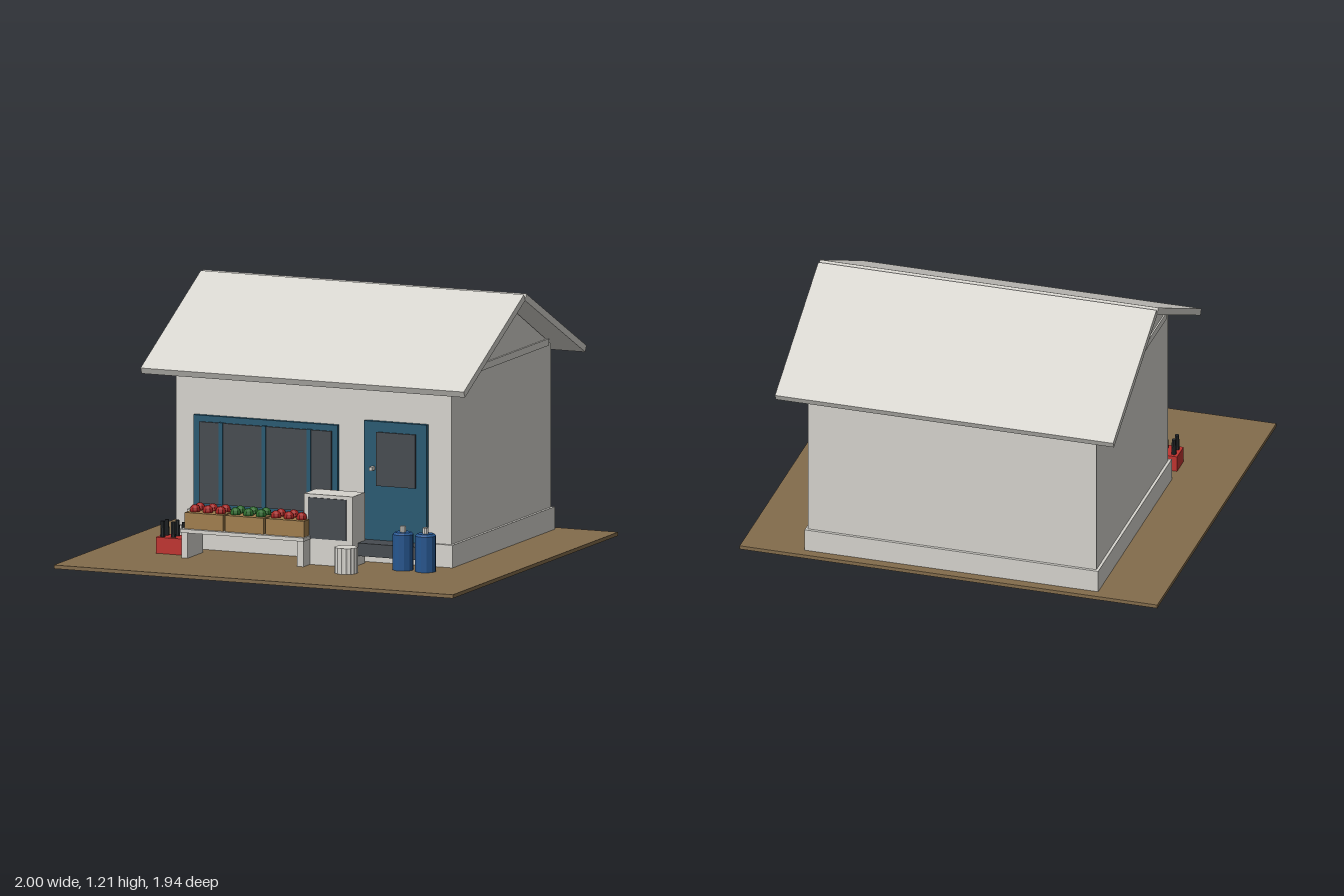
import * as THREE from 'three';

const mat = (name, color) => {
  const m = new THREE.MeshStandardMaterial({ color });
  m.name = name;
  return m;
};

export function createModel() {
  const root = new THREE.Group();
  root.name = 'cornerShop';
  const plaster = mat('plaster', 0xd6d4ce);
  const earth = mat('earth', 0x836c4c);
  const paint = mat('bluePaint', 0x285972);
  const glass = mat('darkGlass', 0x464b50);
  const wood = mat('crateWood', 0xa07e4e);
  const red = mat('redPlastic', 0xc03430);
  const apple = mat('appleRed', 0xa32220);
  const green = mat('leafGreen', 0x2c6a2c);
  const gas = mat('gasBlue', 0x26568f);
  const black = mat('bottleBlack', 0x26292c);

  const add = (name, geo, m, parent = root) => {
    const mesh = new THREE.Mesh(geo, m);
    mesh.name = name;
    parent.add(mesh);
    return mesh;
  };
  // Box given by its limits on each axis
  const box = (name, m, x0, x1, y0, y1, z0, z1, parent) => {
    const g = new THREE.BoxGeometry(x1 - x0, y1 - y0, z1 - z0);
    g.translate((x0 + x1) / 2, (y0 + y1) / 2, (z0 + z1) / 2);
    return add(name, g, m, parent);
  };
  // Upright faceted cylinder
  const post = (name, m, x, z, y0, y1, rTop, rBottom, sides, parent) => {
    let g = new THREE.CylinderGeometry(rTop, rBottom, y1 - y0, sides).toNonIndexed();
    g.computeVertexNormals();
    g.translate(x, (y0 + y1) / 2, z);
    return add(name, g, m, parent);
  };
  // Outline in (z, y) extruded along x
  const profile = (name, m, pts, halfWidth) => {
    const s = new THREE.Shape(pts.map(([z, y]) => new THREE.Vector2(-z, y)));
    const g = new THREE.ExtrudeGeometry(s, { depth: halfWidth * 2, bevelEnabled: false });
    g.translate(0, 0, -halfWidth);
    g.rotateY(Math.PI / 2);
    return add(name, g, m);
  };
  const group = (name) => {
    const g = new THREE.Group();
    g.name = name;
    root.add(g);
    return g;
  };

  // Ground and building shell
  box('ground', earth, -1, 1, 0.003, 0.02, -0.9, 0.97);
  box('walls', plaster, -0.69, 0.69, 0.02, 0.885, -0.84, 0.287);
  box('plinth', plaster, -0.703, 0.703, 0.02, 0.125, -0.854, 0.302);
  box('gableBand', plaster, -0.697, 0.697, 0.882, 0.914, -0.8, 0.248);
  const ridge = -0.276;
  profile('gable', plaster, [[ridge - 0.564, 0.884], [ridge + 0.564, 0.884], [ridge, 1.178]], 0.69);

  // Two roof slabs meeting at the ridge
  for (const s of [1, -1]) {
    const pts = [[0, 1.18], [0.68, 0.835], [0.694, 0.863], [0.013, 1.21]];
    profile('roofSlab', plaster, pts.map(([d, y]) => [ridge + s * d, y]), 0.81);
  }

  // Shop window
  const win = group('shopWindow');
  box('windowFrame', paint, -0.594, 0.128, 0.21, 0.644, 0.28, 0.308, win);
  box('windowGlass', glass, -0.562, 0.1, 0.235, 0.615, 0.308, 0.316, win);
  for (const x of [-0.452, -0.235, -0.011]) {
    box('mullion', paint, x - 0.01, x + 0.01, 0.235, 0.618, 0.3, 0.322, win);
  }
  box('windowSill', plaster, -0.61, 0.143, 0.188, 0.21, 0.28, 0.345, win);

  // Door and step
  const door = group('door');
  box('doorLeaf', paint, 0.262, 0.576, 0.12, 0.676, 0.28, 0.31, door);
  box('doorGlass', glass, 0.326, 0.522, 0.378, 0.628, 0.31, 0.319, door);
  box('doorHandle', plaster, 0.302, 0.317, 0.45, 0.467, 0.31, 0.345, door);
  box('doorStep', glass, 0.24, 0.6, 0.065, 0.125, 0.28, 0.42);

  // Display cooler
  const cooler = group('cooler');
  box('coolerBody', plaster, 0.035, 0.28, 0.02, 0.348, 0.34, 0.478, cooler);
  box('coolerGlass', glass, 0.06, 0.25, 0.142, 0.332, 0.478, 0.484, cooler);

  // Bench with end panels
  const bench = group('bench');
  box('benchTop', plaster, -0.55, 0.07, 0.138, 0.155, 0.37, 0.56, bench);
  for (const x of [-0.53, 0.05]) {
    box('benchLeg', plaster, x - 0.016, x + 0.016, 0.003, 0.138, 0.38, 0.552, bench);
  }

  // Produce crates, each with two rows of three
  [apple, green, apple].forEach((m, i) => {
    const crate = group('produceCrate');
    const cx = -0.438 + i * 0.203;
    box('crateBox', wood, cx - 0.096, cx + 0.096, 0.155, 0.23, 0.394, 0.542, crate);
    for (const dx of [-0.064, 0, 0.064]) {
      for (const z of [0.44, 0.495]) {
        const g = new THREE.SphereGeometry(0.026, 8, 6).toNonIndexed();
        g.computeVertexNormals();
        g.translate(cx + dx, 0.237, z);
        add('fruit', g, m, crate);
      }
    }
  });

  // Red bottle crate
  const bottles = group('bottleCrate');
  box('bottleCrateBox', red, -0.703, -0.55, 0, 0.095, 0.385, 0.487, bottles);
  for (const x of [-0.68, -0.627, -0.574]) {
    for (const z of [0.412, 0.46]) {
      post('bottle', black, x, z, 0.08, 0.168, 0.01, 0.013, 8, bottles);
    }
  }

  // Gas cylinders with pale valves
  for (const x of [0.512, 0.625]) {
    const tank = group('gasCylinder');
    post('tankBody', gas, x, 0.432, 0.02, 0.185, 0.049, 0.049, 12, tank);
    post('tankShoulder', gas, x, 0.432, 0.185, 0.195, 0.038, 0.049, 12, tank);
    post('tankValve', plaster, x, 0.432, 0.19, 0.222, 0.014, 0.014, 8, tank);
  }

  // Waste bin with ribbed side
  const bin = new THREE.CylinderGeometry(0.054, 0.054, 0.14, 32).toNonIndexed();
  const p = bin.attributes.position;
  for (let i = 0; i < p.count; i++) {
    const k = Math.round(Math.atan2(p.getX(i), p.getZ(i)) / (Math.PI / 16));
    const f = k % 2 ? 0.93 : 1;
    p.setXYZ(i, p.getX(i) * f, p.getY(i), p.getZ(i) * f);
  }
  bin.computeVertexNormals();
  bin.translate(0.31, 0.07, 0.62);
  add('wasteBin', bin, plaster);

  return root;
}
